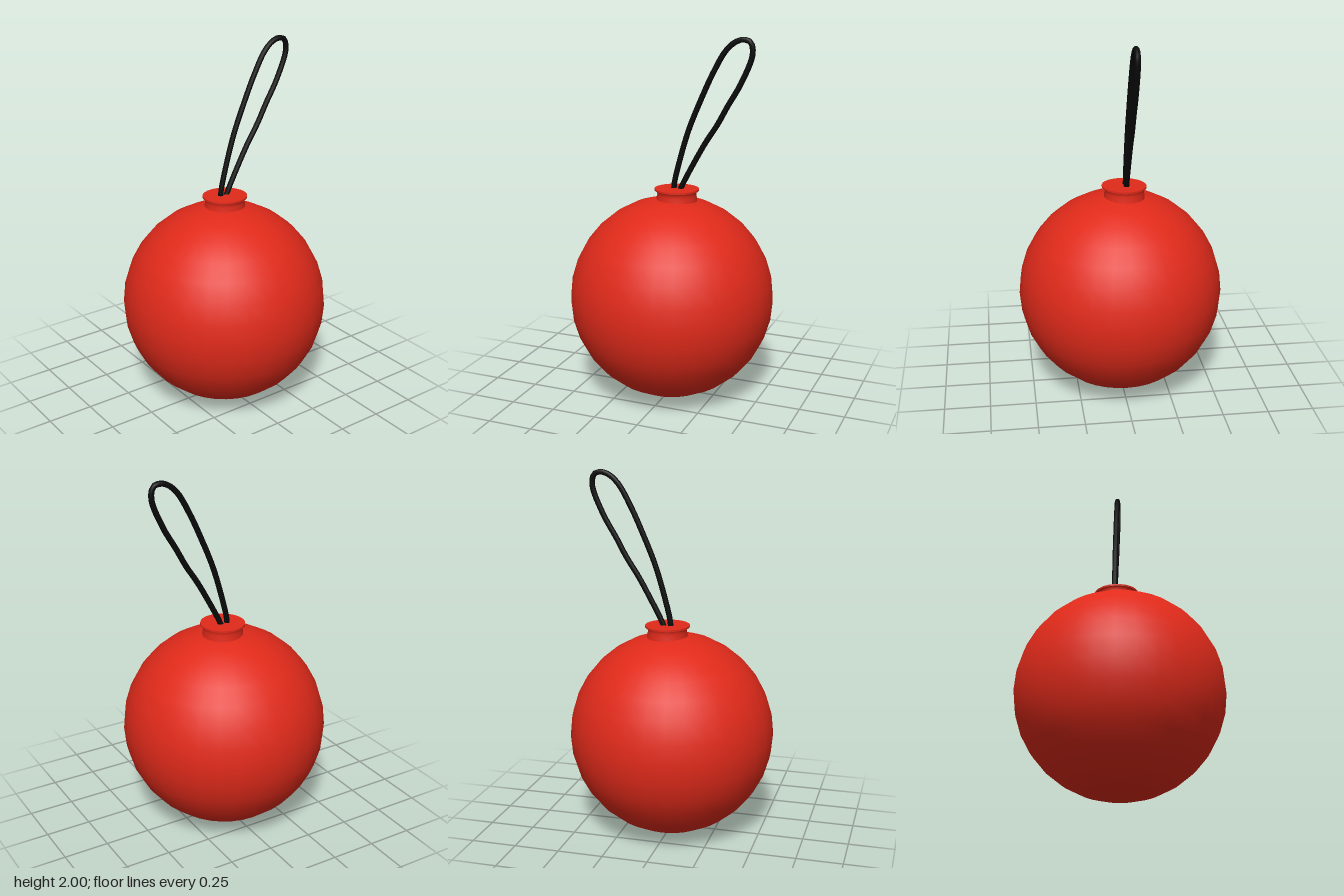
import * as THREE from 'three';

export function createModel() {
  const group = new THREE.Group();
  const red = new THREE.MeshStandardMaterial({ color: 0xe02a1a });
  const black = new THREE.MeshStandardMaterial({ color: 0x0a0a0a });

  const add = (name, geometry, material, x = 0, y = 0, z = 0) => {
    const mesh = new THREE.Mesh(geometry, material);
    mesh.name = name;
    mesh.position.set(x, y, z);
    group.add(mesh);
    return mesh;
  };

  // round body
  add('ball', new THREE.SphereGeometry(0.562, 32, 16), red, 0, 0.562, 0);

  // neck: a short waist flaring into the rim
  const neck = [[0.115, 1.07], [0.11, 1.12], [0.106, 1.14], [0.108, 1.155], [0.113, 1.163]];
  add('neck', new THREE.LatheGeometry(neck.map(([r, y]) => new THREE.Vector2(r, y)), 40),
    red, -0.02, 0, -0.02);

  // thin flat rim closing the neck, very slightly tilted
  const rim = add('rim', new THREE.CylinderGeometry(0.121, 0.121, 0.01, 40), red, -0.02, 1.168, -0.02);
  rim.rotation.z = 0.02;

  // hanging cord: one loop leaning to the back, both ends sunk in the cap
  const loop = [
    [0.002, 1.15], [-0.002, 1.2], [-0.03, 1.317], [-0.085, 1.5], [-0.155, 1.67], [-0.22, 1.81],
    [-0.287, 1.925], [-0.338, 1.971], [-0.383, 1.985], [-0.42, 1.973], [-0.432, 1.915],
    [-0.375, 1.765], [-0.3, 1.635], [-0.245, 1.535], [-0.18, 1.435], [-0.115, 1.32],
    [-0.052, 1.2], [-0.03, 1.15],
  ];
  const path = new THREE.CatmullRomCurve3(loop.map(([z, y]) => new THREE.Vector3(-0.03, y, z)));
  add('cord', new THREE.TubeGeometry(path, 80, 0.015, 10), black);

  return group;
}
